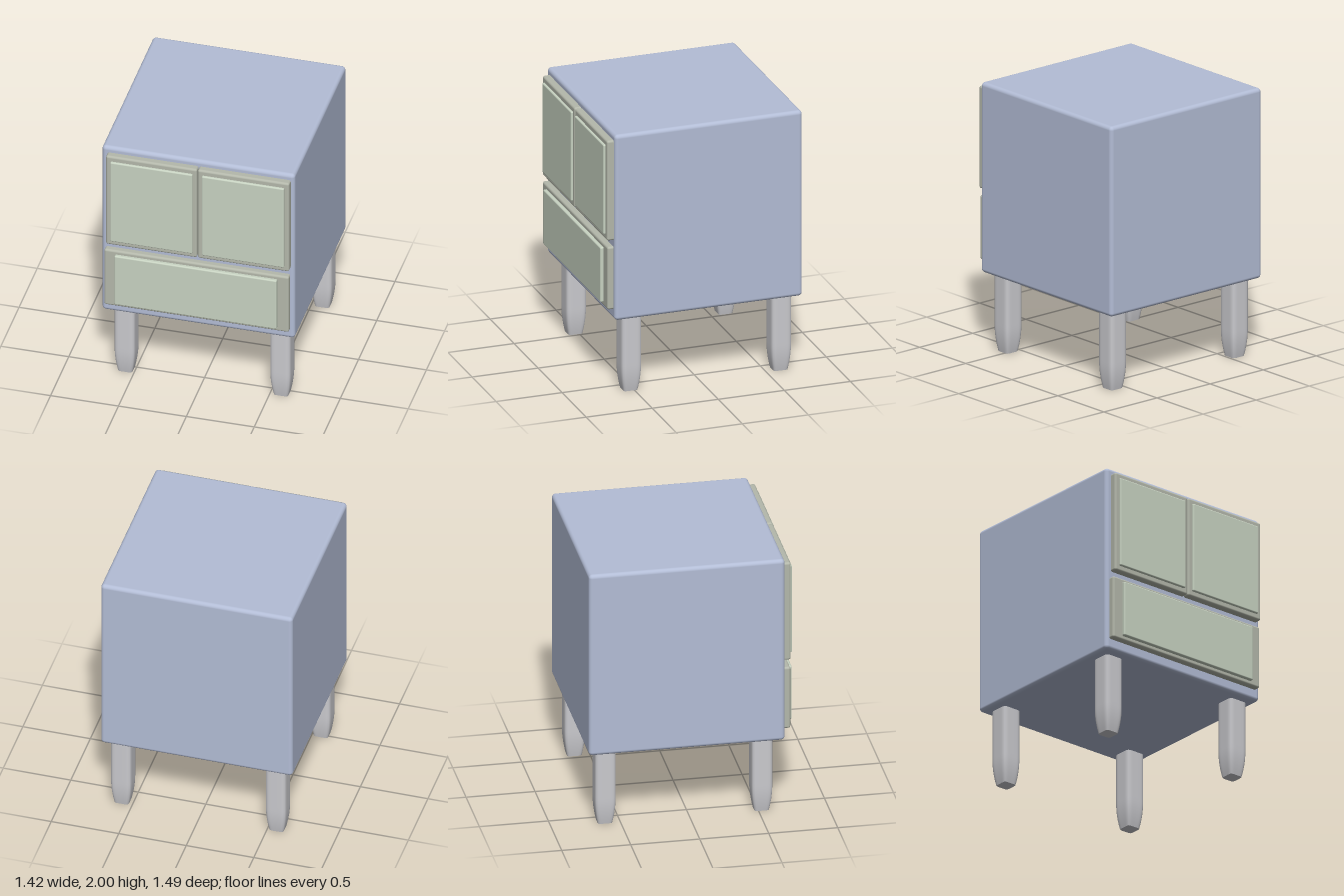
import * as THREE from 'three';
import { RoundedBoxGeometry } from 'three/addons/geometries/RoundedBoxGeometry.js';

function material(name, color) {
  const m = new THREE.MeshStandardMaterial({ color });
  m.name = name;
  return m;
}

// Softly rounded box given by its limits on each axis
function block(name, mat, [x0, x1], [y0, y1], [z0, z1], radius) {
  const mesh = new THREE.Mesh(new RoundedBoxGeometry(x1 - x0, y1 - y0, z1 - z0, 4, radius), mat);
  mesh.position.set((x0 + x1) / 2, (y0 + y1) / 2, (z0 + z1) / 2);
  mesh.name = name;
  return mesh;
}

// Square leg with rounded edges, drawn in near the foot
function legGeometry() {
  const height = 0.6;
  const geo = new THREE.CylinderGeometry(1, 1, height, 40, 24);
  geo.translate(0, height / 2, 0);
  const p = geo.attributes.position;
  for (let i = 0; i < p.count; i++) {
    const x = p.getX(i), y = p.getY(i), z = p.getZ(i);
    const len = Math.hypot(x, z);
    if (len < 0.01) continue;
    const n = 7;
    const square = Math.pow(Math.abs(x / len) ** n + Math.abs(z / len) ** n, -1 / n);
    const t = Math.max(0, 1 - y / 0.2);
    const half = 0.075 - 0.022 * t * t;
    p.setXYZ(i, x * square * half, y, z * square * half);
  }
  geo.computeVertexNormals();
  return geo;
}

export function createModel() {
  const group = new THREE.Group();
  group.name = 'bedsideCabinet';
  const blue = material('powder blue', 0xb3bdd6);
  const frameGreen = material('grey green', 0xb4b8ab);
  const panelGreen = material('pale green', 0xc8d3c2);
  const grey = material('light grey', 0xcacace);

  // Cabinet body
  group.add(block('body', blue, [-0.71, 0.71], [0.58, 2], [-0.745, 0.675], 0.028));

  // Pair of doors, each a frame with a raised panel
  const doors = [
    ['right', [-0.668, 0.003], [-0.632, -0.027]],
    ['left', [0.008, 0.682], [0.042, 0.648]],
  ];
  for (const [side, frameX, panelX] of doors) {
    group.add(block(side + 'DoorFrame', frameGreen, frameX, [1.19, 1.955], [0.6, 0.725], 0.016));
    group.add(block(side + 'DoorPanel', panelGreen, panelX, [1.23, 1.915], [0.66, 0.741], 0.01));
  }

  // Drawer
  group.add(block('drawerFrame', frameGreen, [-0.682, 0.678], [0.66, 1.14], [0.6, 0.72], 0.016));
  group.add(block('drawerPanel', panelGreen, [-0.6, 0.595], [0.69, 1.11], [0.66, 0.745], 0.01));

  // Four legs
  const leg = legGeometry();
  for (const [x, xName] of [[-0.567, 'Right'], [0.58, 'Left']]) {
    for (const [z, zName] of [[0.525, 'front'], [-0.61, 'back']]) {
      const mesh = new THREE.Mesh(leg, grey);
      mesh.position.set(x, 0, z);
      mesh.name = zName + xName + 'Leg';
      group.add(mesh);
    }
  }
  return group;
}
